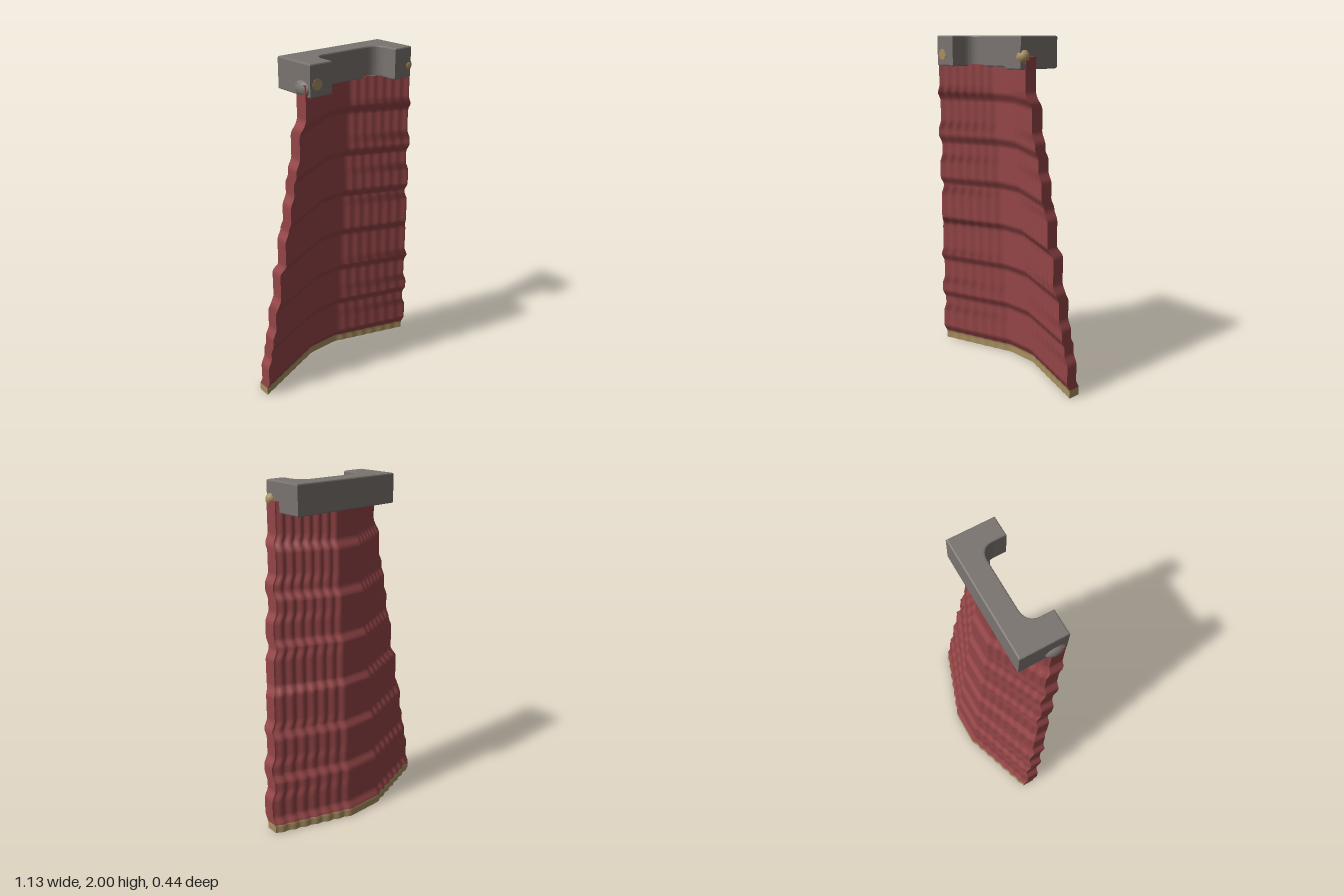
import * as THREE from 'three';
import { mergeGeometries } from 'three/addons/utils/BufferGeometryUtils.js';
import { ParametricGeometry } from 'three/addons/geometries/ParametricGeometry.js';

const { lerp, smoothstep, clamp } = THREE.MathUtils;

// Sum of soft steps starting at y = first, repeating every gap
function steps(y, first, gap, count, soft) {
  let sum = 0;
  for (let i = 0; i < count; i++) {
    const c = first + i * gap;
    sum += smoothstep(y, c - soft, c + soft);
  }
  return sum;
}

// Half width and backward offset of the cloth, tapering in tiers
const halfWidth = y => 0.565 - 0.025 * steps(y, 0.23, 0.208, 8, 0.035);
const backZ = y => -0.215 + 0.0245 * steps(y, 0.07, 0.264, 7, 0.03);

// Forward curl toward the side edges, in softened pleats
function curl(s, pleat) {
  const t = clamp((Math.abs(s) - 0.17) / 0.83, 0, 1);
  const k = t * 7, n = Math.floor(k);
  const stair = Math.min(1, (n + smoothstep(k - n, 0.3, 0.95)) / 7);
  return 0.165 * lerp(t, stair, pleat);
}

// Point on the cloth: s across (-1..1), y height, f from back (0) to front (1)
function clothPoint(s, y, f, out) {
  const z = backZ(y) + curl(s, lerp(0.9, 0.4, f)) + 0.075 * f;
  out.set(s * halfWidth(y), y, z);
}

// Closed slab of cloth between y0 and a top that may vary across
function clothSlab(y0, top, rows) {
  const at = (s, v, f, out) => clothPoint(s, lerp(y0, top(s), v), f, out);
  const cols = 84;
  return mergeGeometries([
    new ParametricGeometry((u, v, p) => at(u * 2 - 1, v, 1, p), cols, rows),
    new ParametricGeometry((u, v, p) => at(1 - u * 2, v, 0, p), cols, rows),
    new ParametricGeometry((u, v, p) => at(1, v, 1 - u, p), 2, rows),
    new ParametricGeometry((u, v, p) => at(-1, v, u, p), 2, rows),
    new ParametricGeometry((u, v, p) => at(u * 2 - 1, 0, v, p), cols, 1),
    new ParametricGeometry((u, v, p) => at(1 - u * 2, 1, v, p), cols, 1),
  ]);
}

export function createModel() {
  const group = new THREE.Group();
  const material = (name, color) => {
    const m = new THREE.MeshStandardMaterial({ color });
    m.name = name;
    return m;
  };
  const red = material('red cloth', 0x944547);
  const grey = material('grey collar', 0x7a7470);
  const gold = material('gold trim', 0xa88f60);
  const add = (name, geometry, mat, x = 0, y = 0, z = 0) => {
    const mesh = new THREE.Mesh(geometry, mat);
    mesh.name = name;
    mesh.position.set(x, y, z);
    group.add(mesh);
    return mesh;
  };

  // Cloth, with its side edges rising beside the collar
  add('cape', clothSlab(0.05, s => 1.84 + 0.055 * smoothstep(Math.abs(s), 0.8, 0.95), 130), red);
  add('hem', clothSlab(0, () => 0.05, 3), gold);

  // Bracket-shaped collar, open to the front
  const c = new THREE.Shape();
  c.moveTo(-0.35, 0.05);
  c.lineTo(0.347, 0.05);
  c.lineTo(0.347, -0.215);
  c.lineTo(0.23, -0.215);
  c.lineTo(0.23, -0.14);
  c.quadraticCurveTo(0.225, -0.07, 0.15, -0.07);
  c.lineTo(-0.13, -0.07);
  c.quadraticCurveTo(-0.205, -0.07, -0.21, -0.14);
  c.lineTo(-0.21, -0.215);
  c.lineTo(-0.35, -0.215);
  c.closePath();
  const bevel = 0.008;
  const collar = new THREE.ExtrudeGeometry(c, {
    depth: 0.17 - 2 * bevel, bevelEnabled: true, bevelSize: bevel, bevelOffset: -bevel,
    bevelThickness: bevel, bevelSegments: 2, curveSegments: 8,
  });
  collar.rotateX(-Math.PI / 2);
  add('collar', collar, grey, 0, 1.83 + bevel, 0);

  // Rounded shoulder swelling over the cloth edge on the right
  const ball = new THREE.SphereGeometry(1, 20, 14);
  add('shoulderSwelling', ball, grey, -0.335, 1.87, 0.15).scale.set(0.04, 0.045, 0.062);

  // Clasps: a flat stud on one arm, a rounded one wrapping the other's corner
  const stud = new THREE.CylinderGeometry(0.03, 0.03, 0.008, 20).rotateX(Math.PI / 2);
  add('rightClasp', stud, gold, -0.305, 1.895, 0.213);
  add('leftClasp', ball, gold, 0.334, 1.895, 0.187).scale.set(0.037, 0.038, 0.034);

  return group;
}
